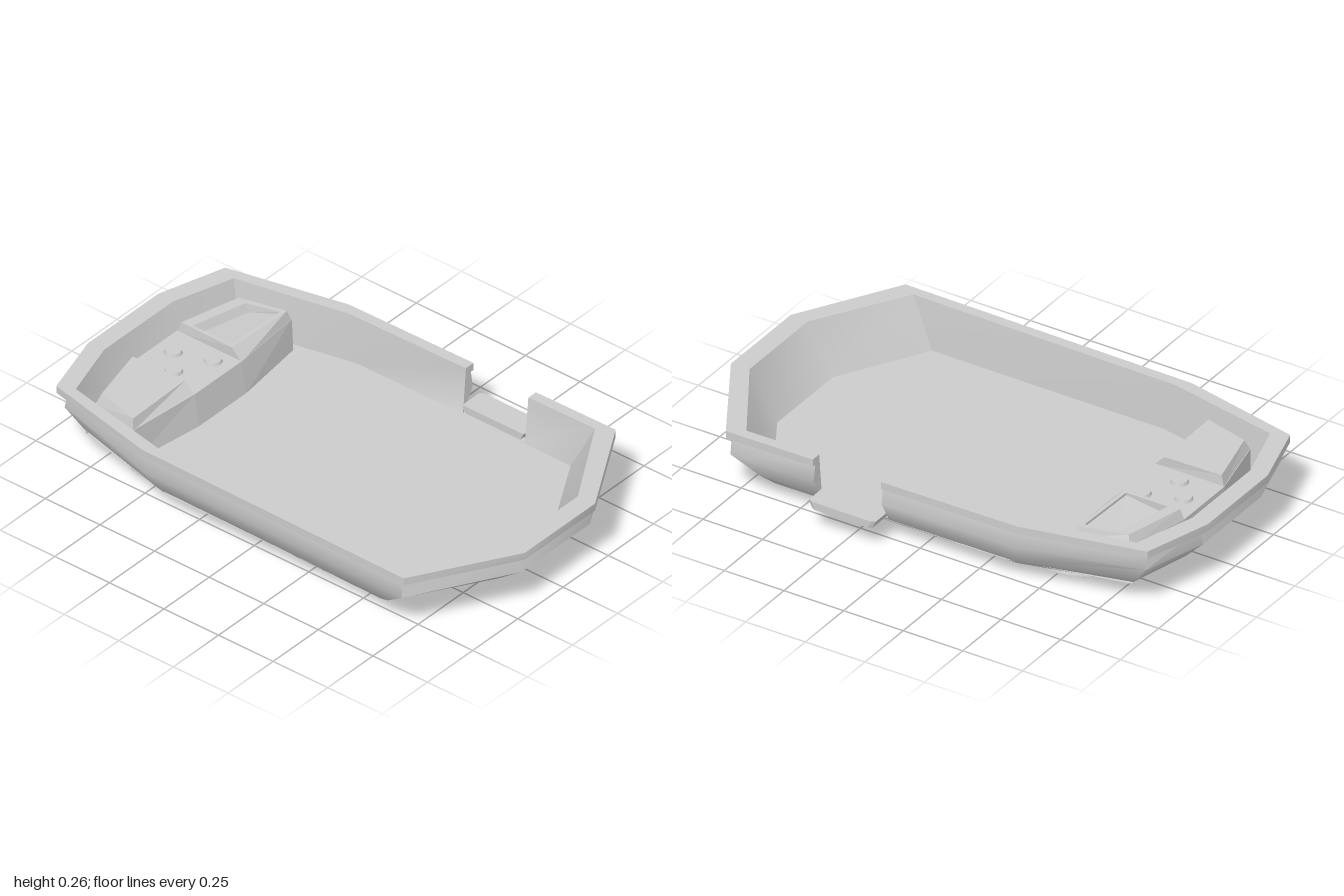
import * as THREE from 'three';
import { toCreasedNormals } from 'three/addons/utils/BufferGeometryUtils.js';

const CX = -0.0175;
const FLOOR = 0.075;
const DOOR = [0.408, 0.125];
const material = new THREE.MeshStandardMaterial({ color: 0xcccccc });

const lerp = THREE.MathUtils.lerp;
const v = (x, y, z) => new THREE.Vector3(x, y, z);
const plan = (pts, y) => pts.map(([x, z]) => v(x, y, z));

function geometryFrom(tris, crease) {
  const g = new THREE.BufferGeometry().setFromPoints(tris);
  g.computeVertexNormals();
  return crease ? toCreasedNormals(g, crease) : g;
}

function add(parent, name, geometry, x = 0, y = 0, z = 0) {
  const mesh = new THREE.Mesh(geometry, material);
  mesh.name = name;
  mesh.position.set(x, y, z);
  parent.add(mesh);
  return mesh;
}

const quad = (out, a, b, c, d) => out.push(a, b, c, a, c, d);

function fan(out, ring, up) {
  for (let i = 1; i < ring.length - 1; i++) {
    if (up) out.push(ring[0], ring[i], ring[i + 1]);
    else out.push(ring[0], ring[i + 1], ring[i]);
  }
}

// Closed loft through rings that run anticlockwise seen from above
function loft(rings) {
  const out = [];
  for (let j = 0; j < rings.length - 1; j++) {
    const a = rings[j], b = rings[j + 1];
    a.forEach((p, i) => {
      const k = (i + 1) % a.length;
      quad(out, p, a[k], b[k], b[i]);
    });
  }
  fan(out, rings[0], false);
  fan(out, rings[rings.length - 1], true);
  return geometryFrom(out);
}

// Ten-sided hull outline from its half, with the two door posts on the left side
function hullRing(y, half) {
  const [, c, m] = half;
  const posts = DOOR.map(z => [lerp(c[0], m[0], (c[1] - z) / (c[1] - m[1])), z]);
  const left = [half[0], c, ...posts, ...half.slice(2)];
  const right = [...half].reverse().map(([x, z]) => [-x, z]);
  return plan([...left, ...right].map(([x, z]) => [x + CX, z]), y);
}

function hullGeometry() {
  const bottom = [[0.18, 0.82], [0.515, 0.61], [0.505, -0.4], [0.4, -0.81], [0.17, -0.86]];
  const mid = [[0.19, 0.98], [0.58, 0.755], [0.57, -0.43], [0.445, -0.9], [0.19, -0.975]];
  const bilge = bottom.map((p, i) => p.map((n, k) => lerp(n, mid[i][k], 0.32)));
  const neck = [[0.19, 0.965], [0.57, 0.75], [0.56, -0.435], [0.44, -0.89], [0.19, -0.965]];
  const rim = [[0.195, 1], [0.587, 0.77], [0.573, -0.44], [0.467, -0.92], [0.195, -1]];
  const lip = [[0.19, 0.925], [0.545, 0.71], [0.53, -0.4], [0.437, -0.855], [0.19, -0.93]];
  const floor = [[0.18, 0.815], [0.522, 0.617], [0.52, -0.36], [0.42, -0.82], [0.17, -0.87]];
  const rings = [
    hullRing(0.065, bottom), hullRing(0.09, bilge), hullRing(0.17, mid), hullRing(0.235, neck),
    hullRing(0.235, rim), hullRing(0.265, rim), hullRing(0.265, lip), hullRing(FLOOR, floor),
  ];
  const out = [], n = rings[0].length, last = rings.length - 1;
  const doorSide = 2;
  for (let i = 0; i < n; i++) {
    const k = (i + 1) % n;
    for (let j = 0; j < last; j++) {
      if (i === doorSide && j > 0) continue;
      quad(out, rings[j][i], rings[j][k], rings[j + 1][k], rings[j + 1][i]);
    }
    // door threshold
    if (i === doorSide) quad(out, rings[1][i], rings[1][k], rings[last][k], rings[last][i]);
  }
  fan(out, rings[0], false);
  fan(out, rings[last], true);

  // cut faces of the wall on both sides of the doorway
  for (const [i, facesFront] of [[2, false], [3, true]]) {
    const section = rings.slice(1).map(r => r[i]);
    const flat = section.map(p => new THREE.Vector2(p.x, p.y));
    for (const [a, b, c] of THREE.ShapeUtils.triangulateShape(flat, [])) {
      if (facesFront) out.push(section[a], section[b], section[c]);
      else out.push(section[a], section[c], section[b]);
    }
  }
  return geometryFrom(out, 0.85);
}

function controlConsole() {
  const group = new THREE.Group();
  group.name = 'controlConsole';
  const shift = pts => pts.map(([x, z]) => [x + CX, z]);
  const mirror = pts => [...pts].reverse().map(([x, z]) => [-x, z]);
  const footHalf = [[0.13, -0.545], [0.44, -0.585], [0.395, -0.8], [0.13, -0.86]];
  const topHalf = [[0.13, -0.565], [0.44, -0.592], [0.395, -0.8], [0.13, -0.86]];
  const both = half => shift([...half, ...mirror(half)]);
  add(group, 'consoleBase', loft([plan(both(footHalf), FLOOR - 0.005), plan(both(topHalf), 0.205)]));

  // raised wings on both sides of the button panel, the left one with a sunken sloping screen
  const crown = [[0.13, -0.61], [0.425, -0.603], [0.378, -0.785], [0.135, -0.845]];
  const screen = [[0.145, -0.625], [0.405, -0.617], [0.368, -0.745], [0.145, -0.8]];
  const screenBed = screen.map(([x, z]) => v(x + CX, z < -0.7 ? 0.212 : 0.235, z < -0.7 ? z + 0.015 : z));
  add(group, 'rightWing', loft([plan(shift(mirror(topHalf)), 0.2), plan(shift(mirror(crown)), 0.245)]));
  add(group, 'leftWingWithScreen', loft([
    plan(shift(topHalf), 0.2), plan(shift(crown), 0.245), plan(shift(screen), 0.245), screenBed,
  ]));

  for (const [x, z] of [[0, -0.785], [-0.088, -0.71], [0.05, -0.643]]) {
    add(group, 'button', new THREE.CylinderGeometry(0.03, 0.036, 0.016, 10), x, 0.209, z);
  }
  return group;
}

function hoverPad() {
  const pad = new THREE.Group();
  pad.name = 'hoverPad';
  const profile = [[0, 0.012], [0.05, 0.011], [0.08, 0.006], [0.1, 0.007], [0.11, 0.014], [0.12, 0.018],
    [0.145, 0.02], [0.17, 0.029], [0.184, 0.038], [0.183, 0.05], [0.175, 0.06], [0.172, 0.068]]
    .map(([r, y]) => new THREE.Vector2(r, y));
  add(pad, 'padShell', toCreasedNormals(new THREE.LatheGeometry(profile, 32), 0.7));
  // rounded lobes around the hub
  for (let i = 0; i < 3; i++) {
    const a = i * Math.PI * 2 / 3 + 0.5;
    const lobe = add(pad, 'padLobe', new THREE.SphereGeometry(1, 14, 8), Math.cos(a) * 0.06, 0.011, Math.sin(a) * 0.06);
    lobe.scale.set(0.032, 0.011, 0.046);
    lobe.rotation.y = -a;
  }
  return pad;
}

export function createModel() {
  const model = new THREE.Group();
  model.name = 'hoverBoat';
  add(model, 'hull', hullGeometry());
  model.add(controlConsole());

  // boarding step outside the doorway, narrower underneath
  const stepTop = [[0.5, 0.405], [0.595, 0.405], [0.603, 0.39], [0.603, 0.14], [0.595, 0.125], [0.5, 0.125]];
  const stepFoot = stepTop.map(([x, z]) => [x, lerp(0.265, z, 0.9)]);
  add(model, 'boardingStep', loft([plan(stepFoot, 0.087), plan(stepTop, 0.117)]));

  for (const x of [-0.29, 0.25]) {
    for (const z of [0.35, -0.1, -0.525]) {
      const pad = hoverPad();
      pad.position.set(x, 0, z);
      model.add(pad);
    }
  }
  return model;
}
